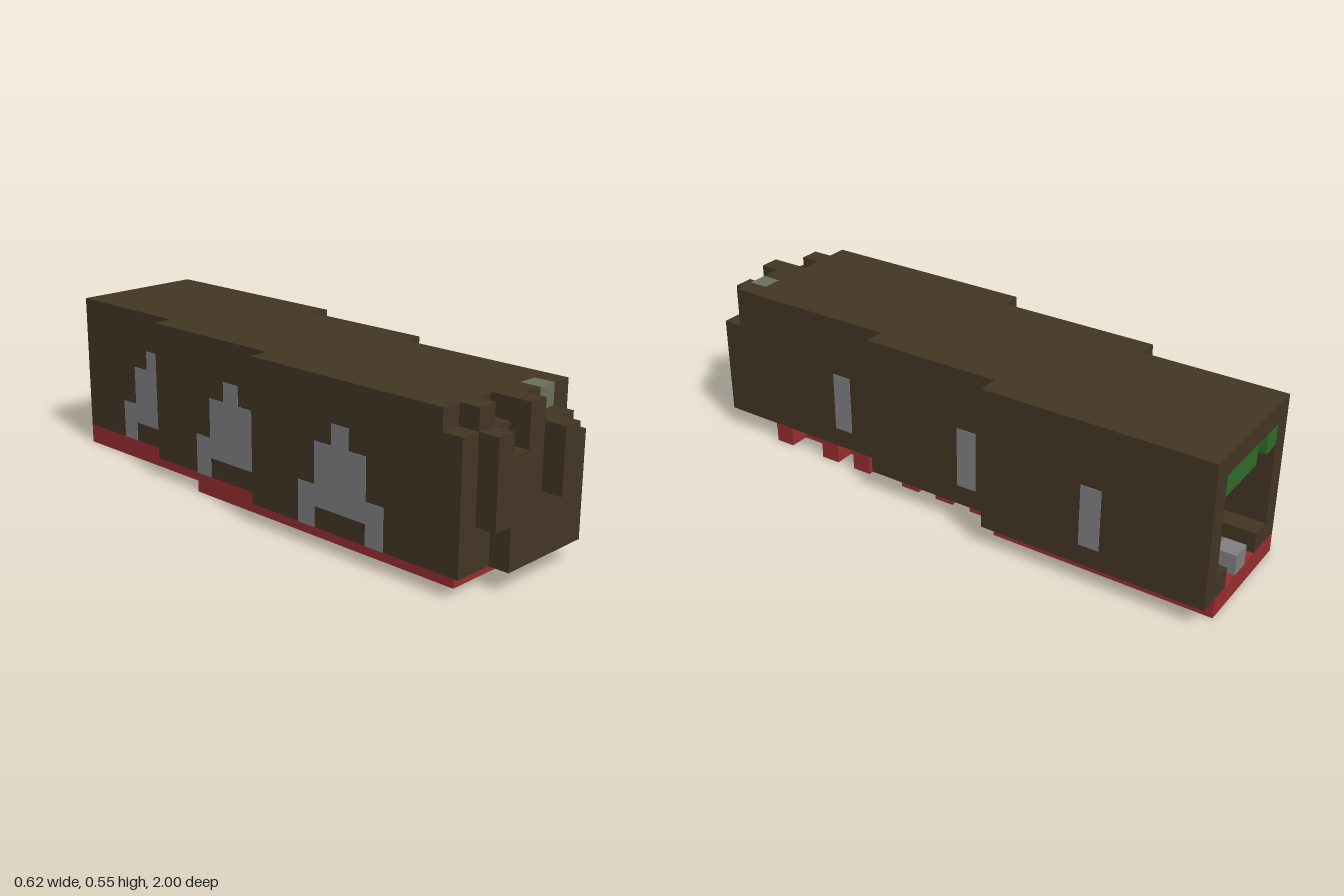
import * as THREE from 'three';

const U = 2 / 29; // one block

export function createModel() {
  const model = new THREE.Group();
  model.name = 'hollowLog';
  const mat = (name, color) => {
    const m = new THREE.MeshStandardMaterial({ color });
    m.name = name;
    return m;
  };
  const bark = mat('bark', 0x423523);
  const red = mat('red', 0x962d2f);
  const grey = mat('grey', 0x808083);
  const green = mat('green', 0x2f6b2a);
  const olive = mat('olive', 0x69705b);

  // Box given by block coordinates: x 0..9, y 0..8, z 0 (back)..29 (front)
  const box = (name, m, x0, x1, y0, y1, z0, z1) => {
    const g = new THREE.BoxGeometry((x1 - x0) * U, (y1 - y0) * U, (z1 - z0) * U);
    g.translate(((x0 + x1) / 2 - 4.5) * U, ((y0 + y1) / 2) * U, ((z0 + z1) / 2 - 14.5) * U);
    const mesh = new THREE.Mesh(g, m);
    mesh.name = name;
    model.add(mesh);
  };

  // Red floor with notched left edge
  box('floor', red, 1, 6, 0, 1, 11, 26);
  box('floorStep', red, 1, 8, 0, 1, 10, 11);
  box('floorBack', red, 2, 8, 0, 1, 0, 10);
  for (const z of [12, 14, 16, 19, 21, 24]) box('floorTooth', red, 6, 7, 0, 1, z, z + 1);

  // Side walls, stepping sideways along the length, with an inner ledge
  for (const [x, z0, z1] of [[0, 15, 26], [1, 7, 15], [2, 0, 7]]) {
    box('rightWall', bark, x, x + 1, 1, 7, z0, z1);
    box('rightLedge', bark, x + 1, x + 2, 1, 2, z0, z1);
  }
  for (const [x, z0, z1] of [[6, 18, 26], [7, 11, 18], [8, 0, 11]]) {
    box('leftWall', bark, x, x + 1, 1, 7, z0, z1);
    box('leftLedge', bark, x - 1, x, 1, 2, z0, z1);
  }

  // Roof
  for (const [x0, x1, z0, z1] of [[0, 7, 18, 26], [0, 8, 15, 18], [1, 8, 11, 15], [1, 9, 7, 11], [2, 9, 0, 7]]) {
    box('roof', bark, x0, x1, 7, 8, z0, z1);
  }

  // Closed, ragged front end
  box('frontWall', bark, 0, 7, 1, 7, 26, 27);
  box('frontFace', bark, 2, 7, 1, 6, 27, 28);
  box('frontFaceEdge', bark, 1, 2, 3, 7, 27, 28);
  box('frontRim', bark, 3, 6, 6, 7, 27, 28);
  box('frontRimTop', bark, 1, 2, 7, 8, 26, 27);
  box('frontRimTop', bark, 3, 5, 7, 8, 26, 27);
  box('frontRimTop', bark, 6, 7, 7, 8, 26, 27);
  box('frontRimPeak', bark, 3, 4, 7, 8, 27, 28);
  box('frontKnot', bark, 4, 5, 4, 7, 28, 29);
  box('mossBlock', olive, 5, 6, 7, 8, 26, 27);

  // Painted patches on both sides
  const e = 0.03;
  for (const [x, wx, z] of [[0, 7, 20], [1, 8, 12], [2, 9, 5]]) {
    box('leftPatch', grey, wx - e, wx + e, 2, 5, z, z + 1);
    const tops = x === 2 ? [3, 5, 6, 6] : [3, 5, 6, 5, 3];
    tops.forEach((top, i) => {
      const bottom = i === 0 || i === 4 ? 1 : 2;
      box('rightPatch', grey, x - e, x + e, bottom, top, z - 2 + i, z - 1 + i);
    });
  }

  // Grey spots under the floor
  box('floorSpot', grey, 6, 7, -0.001, 0.05, 3, 4);
  box('floorSpot', grey, 3, 4, -0.001, 0.05, 12, 13);

  // Things inside the open back
  box('stone', grey, 5, 6, 1, 2, 0, 1);
  box('mossyStone', olive, 5, 6, 1, 2, 1, 3);
  box('vineBar', green, 5, 8, 6, 7, 0, 1);
  box('vineEnd', green, 3, 4, 6, 7, 0, 1);
  box('vineDrop', green, 5, 6, 5, 6, 1, 2);
  box('vineLeaf', green, 7, 8, 3, 5, 2, 3);
  box('innerPost', bark, 7, 8, 2, 7, 3, 4);
  return model;
}
